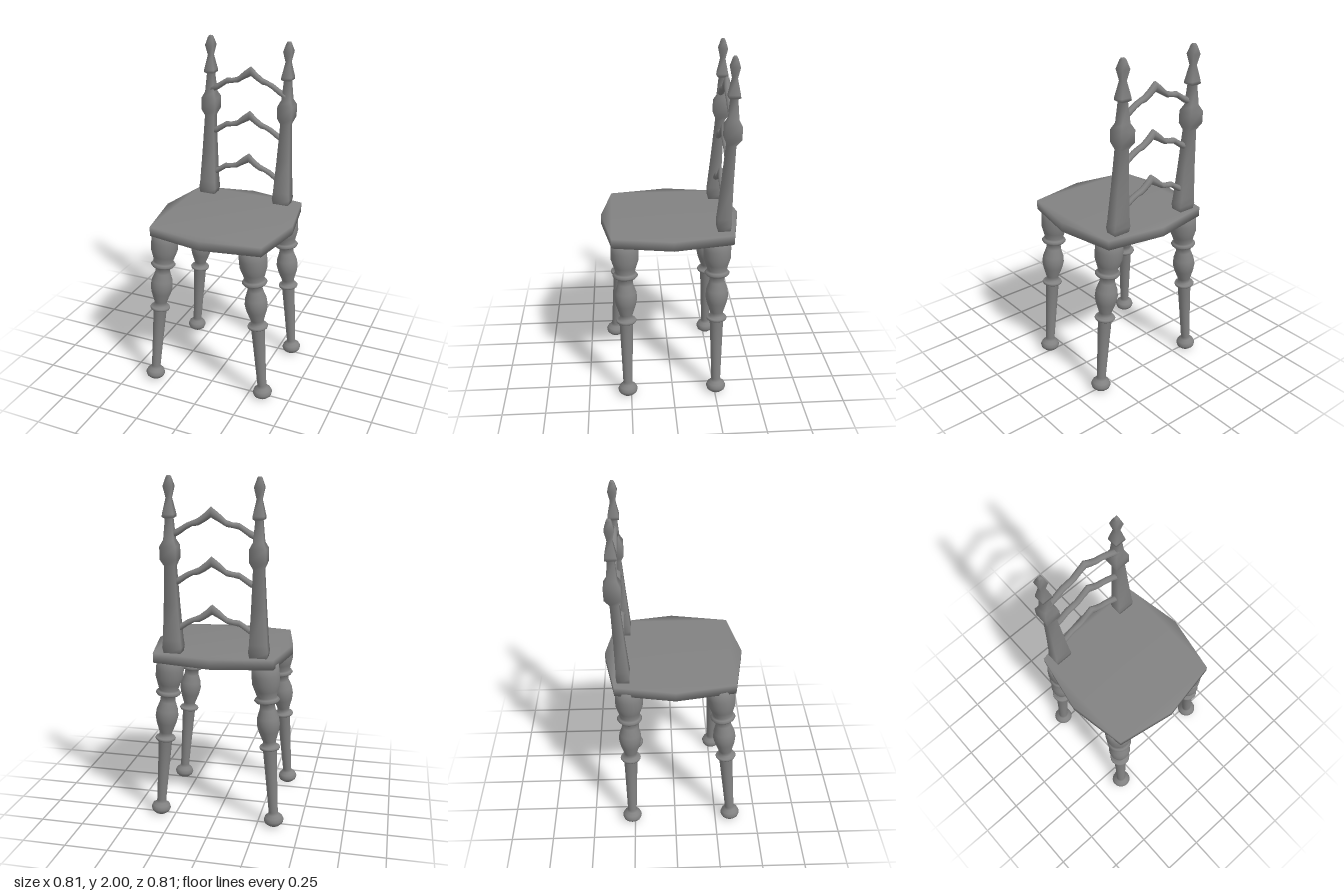
import * as THREE from 'three';
import { mergeVertices } from 'three/addons/utils/BufferGeometryUtils.js';

const material = new THREE.MeshStandardMaterial({ color: 0x828282 });

function addMesh(parent, name, geometry) {
  const mesh = new THREE.Mesh(geometry, material);
  mesh.name = name;
  parent.add(mesh);
  return mesh;
}

// Welds all corners so that the shading runs softly over every edge
function smooth(geometry) {
  geometry.deleteAttribute('normal');
  geometry.deleteAttribute('uv');
  const welded = mergeVertices(geometry, 1e-4);
  welded.computeVertexNormals();
  return welded;
}

// Turned leg profile: [radius, height]
const legProfile = [
  [0, 0.006], [0.036, 0.008], [0.052, 0.022], [0.058, 0.04], [0.05, 0.06], [0.032, 0.073], [0.027, 0.09],
  [0.033, 0.28], [0.04, 0.48], [0.056, 0.483], [0.06, 0.491], [0.056, 0.499], [0.034, 0.503],
  [0.038, 0.53], [0.058, 0.59], [0.066, 0.63], [0.062, 0.67], [0.045, 0.72], [0.041, 0.755],
  [0.064, 0.763], [0.073, 0.775], [0.064, 0.787], [0.055, 0.795], [0.066, 0.83], [0.079, 0.87],
  [0.08, 0.92], [0.076, 0.985], [0, 0.985],
].map(([r, y]) => new THREE.Vector2(r, y));

// Foot [x, z] and top [x, z] of each leg
const legs = [
  ['frontLeftLeg', [0.343, 0.27], [0.262, 0.27]],
  ['frontRightLeg', [-0.345, 0.345], [-0.283, 0.258]],
  ['backLeftLeg', [0.343, -0.258], [0.264, -0.255]],
  ['backRightLeg', [-0.35, -0.268], [-0.283, -0.262]],
];

// Back post sections: [height, half width, half depth, z]
const postSections = [
  [1.015, 0.046, 0.034, -0.29], [1.06, 0.055, 0.038, -0.292], [1.1, 0.05, 0.036, -0.294],
  [1.3, 0.039, 0.029, -0.306], [1.52, 0.029, 0.024, -0.32], [1.56, 0.045, 0.046, -0.326],
  [1.63, 0.045, 0.046, -0.328], [1.665, 0.028, 0.028, -0.328], [1.775, 0.019, 0.019, -0.328],
  [1.785, 0.032, 0.032, -0.328], [1.8, 0.031, 0.031, -0.328], [1.885, 0.014, 0.014, -0.328],
  [1.945, 0.026, 0.026, -0.328], [1.99, 0.013, 0.013, -0.328], [2.0, 0.008, 0.008, -0.328],
];

// Square post: the rows of a four-sided column are moved to the sections
function postGeometry() {
  const n = postSections.length - 1;
  const g = new THREE.CylinderGeometry(Math.SQRT2, Math.SQRT2, n, 4, n);
  g.rotateY(Math.PI / 4);
  const p = g.attributes.position;
  for (let i = 0; i < p.count; i++) {
    const [y, w, d, z] = postSections[Math.round(p.getY(i) + n / 2)];
    p.setXYZ(i, p.getX(i) * w, y, p.getZ(i) * d + z);
  }
  return smooth(g);
}

// Cross rail sections: [x, height, half height]
const railSections = [
  [-0.245, 1.685, 0.02], [-0.2, 1.705, 0.02], [-0.145, 1.742, 0.018], [-0.11, 1.747, 0.015],
  [-0.075, 1.755, 0.018], [-0.035, 1.785, 0.024], [0.008, 1.813, 0.029], [0.045, 1.783, 0.024],
  [0.08, 1.76, 0.02], [0.11, 1.752, 0.015], [0.145, 1.735, 0.018], [0.185, 1.708, 0.02],
  [0.23, 1.685, 0.02],
];

function railGeometry() {
  const n = railSections.length - 1;
  const g = new THREE.CylinderGeometry(1, 1, n, 8, n);
  g.rotateZ(-Math.PI / 2);
  const p = g.attributes.position;
  for (let i = 0; i < p.count; i++) {
    const [x, y, r] = railSections[Math.round(p.getX(i) + n / 2)];
    p.setXYZ(i, x, y + p.getY(i) * r, p.getZ(i) * 0.019);
  }
  return smooth(g);
}

export function createModel() {
  const chair = new THREE.Group();
  chair.name = 'chair';

  // Eight-cornered seat board
  const outline = [
    [0, -0.404], [0.341, -0.342], [0.403, 0], [0.341, 0.341],
    [0, 0.403], [-0.34, 0.342], [-0.402, 0], [-0.34, -0.342],
  ].map(([x, z]) => new THREE.Vector2(x, -z));
  const seat = new THREE.ExtrudeGeometry(new THREE.Shape(outline), { depth: 0.056, bevelEnabled: false });
  seat.rotateX(-Math.PI / 2);
  seat.translate(0, 0.971, 0);
  addMesh(chair, 'seat', smooth(seat));

  // Splayed turned legs
  const legGeometry = smooth(new THREE.LatheGeometry(legProfile, 20));
  const up = new THREE.Vector3(0, 1, 0);
  for (const [name, foot, top] of legs) {
    const leg = addMesh(chair, name, legGeometry);
    const axis = new THREE.Vector3(top[0] - foot[0], 0.975, top[1] - foot[1]).normalize();
    leg.quaternion.setFromUnitVectors(up, axis);
    leg.position.set(foot[0], 0, foot[1]);
  }

  // Back posts
  const post = postGeometry();
  addMesh(chair, 'leftBackPost', post).position.x = 0.234;
  addMesh(chair, 'rightBackPost', post).position.x = -0.253;

  // Three peaked cross rails, following the lean of the posts
  const rail = railGeometry();
  ['topRail', 'middleRail', 'bottomRail'].forEach((name, i) => {
    addMesh(chair, name, rail).position.set(0, -0.265 * i, -0.318 + 0.009 * i);
  });

  return chair;
}
